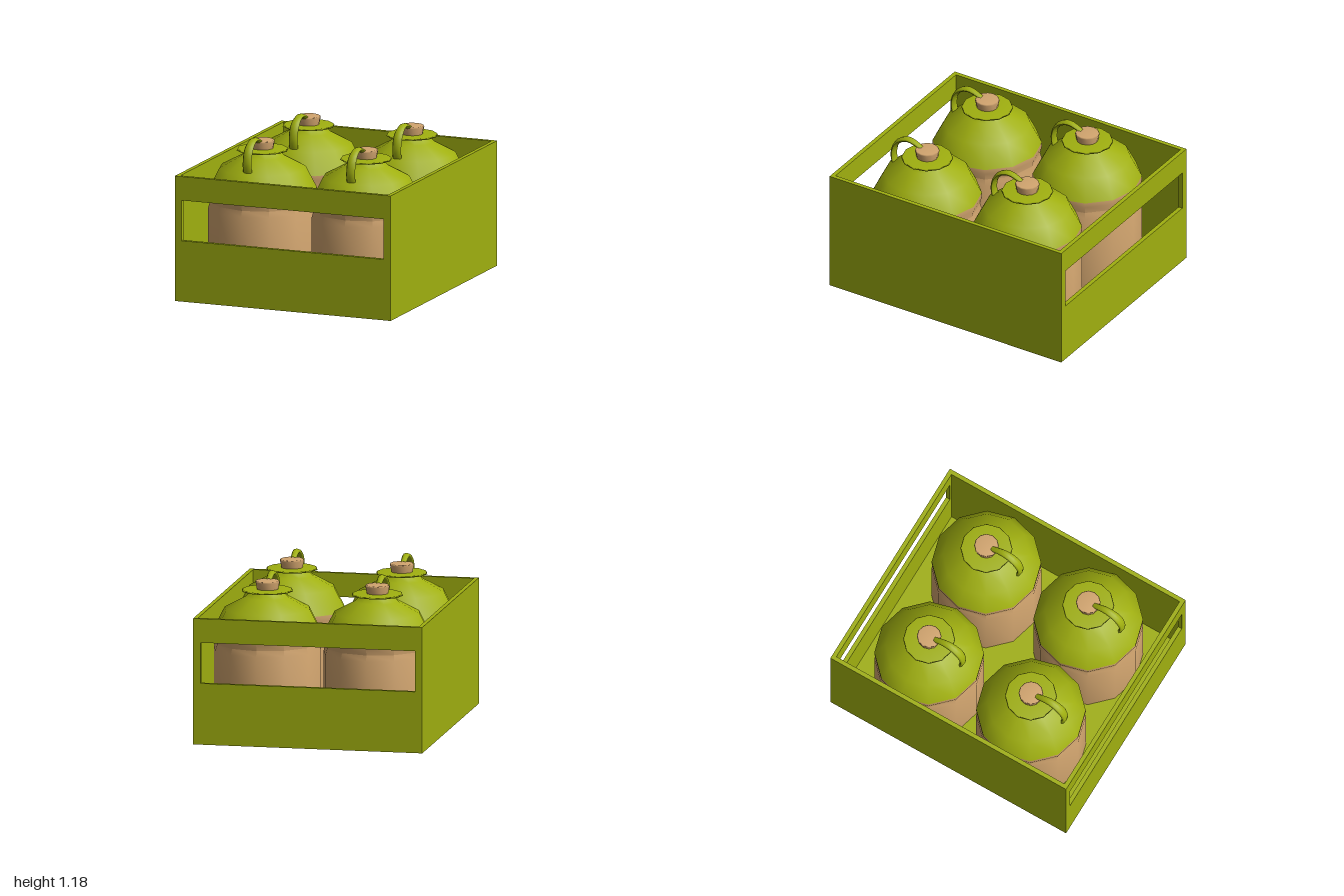
import * as THREE from 'three';
import { toCreasedNormals } from 'three/addons/utils/BufferGeometryUtils.js';

const green = new THREE.MeshStandardMaterial({ color: 0xa0b010 });
green.name = 'olive green';
const tan = new THREE.MeshStandardMaterial({ color: 0xd2a56f });
tan.name = 'tan clay';

const HALF_W = 0.855, HALF_D = 1, HEIGHT = 0.935, WALL = 0.032;

function part(name, geometry, material, parent) {
  const mesh = new THREE.Mesh(geometry, material);
  mesh.name = name;
  parent.add(mesh);
  return mesh;
}

// Twelve-sided turned shape from [radius, height] pairs, bottom to top
function turned(profile, crease) {
  const g = new THREE.LatheGeometry(profile.map(([r, y]) => new THREE.Vector2(r, y)), 12);
  return crease ? toCreasedNormals(g, crease) : g;
}

// Flattened curved grip, wider toward its lower end
function handleGeometry() {
  const path = new THREE.CatmullRomCurve3([
    [1.12, 0.05], [1.145, 0.1], [1.158, 0.16], [1.135, 0.225],
    [1.085, 0.27], [1.01, 0.288], [0.965, 0.285], [0.925, 0.272],
  ].map(([y, z]) => new THREE.Vector3(0, y, z)));
  const g = new THREE.TubeGeometry(path, 14, 0.0175, 8);
  const p = g.attributes.position;
  for (let i = 0; i < p.count; i++) {
    const t = Math.floor(i / 9) / 14;
    p.setX(i, p.getX(i) * (1.2 + 0.8 * Math.min(1, t * 1.8)));
  }
  g.computeVertexNormals();
  return g;
}

function makeJug() {
  const jug = new THREE.Group();
  jug.name = 'jug';
  // Lower body with a shallow groove near the top
  part('jugBody', turned([
    [0, 0.034], [0.4, 0.034], [0.4, 0.63], [0.386, 0.675], [0.4, 0.73], [0.4, 0.765],
  ], 0.7), tan, jug);
  // Sloping shoulder
  part('jugShoulder', turned([
    [0.4, 0.765], [0.318, 0.925], [0.16, 1.01], [0.125, 1.045],
  ]), green, jug);
  // Flared collar
  part('jugCollar', turned([
    [0.122, 1.042], [0.19, 1.055], [0.184, 1.066], [0.07, 1.068],
  ]), green, jug);
  // Stopper
  part('jugStopper', turned([
    [0.078, 1.06], [0.09, 1.12], [0.084, 1.13], [0, 1.13],
  ]), tan, jug);
  part('jugHandle', handleGeometry(), green, jug).material.side = THREE.DoubleSide;
  return jug;
}

function makeCrate() {
  const crate = new THREE.Group();
  crate.name = 'crate';
  // Floor and side walls
  const inner = HALF_D - WALL;
  part('crateFloor', new THREE.BoxGeometry(2 * (HALF_W - WALL), WALL, 2 * inner), green, crate)
    .position.y = WALL / 2;
  for (const s of [-1, 1]) {
    part(s > 0 ? 'leftWall' : 'rightWall', new THREE.BoxGeometry(WALL, HEIGHT, 2 * inner), green, crate)
      .position.set(s * (HALF_W - WALL / 2), HEIGHT / 2, 0);
  }
  // End walls with a long grip slot
  const shape = new THREE.Shape([
    [-HALF_W, 0], [HALF_W, 0], [HALF_W, HEIGHT], [-HALF_W, HEIGHT],
  ].map(([x, y]) => new THREE.Vector2(x, y)));
  shape.holes.push(new THREE.Path([
    [-0.8, 0.455], [-0.8, 0.757], [0.8, 0.757], [0.8, 0.455],
  ].map(([x, y]) => new THREE.Vector2(x, y))));
  const end = new THREE.ExtrudeGeometry(shape, { depth: WALL, bevelEnabled: false });
  part('frontWall', end, green, crate).position.z = inner;
  part('backWall', end, green, crate).position.z = -HALF_D;
  return crate;
}

export function createModel() {
  const model = new THREE.Group();
  model.name = 'jugCrate';
  model.add(makeCrate());
  for (const x of [-0.4, 0.42]) {
    for (const z of [-0.432, 0.432]) {
      const jug = makeJug();
      jug.position.set(x, 0, z);
      model.add(jug);
    }
  }
  return model;
}
